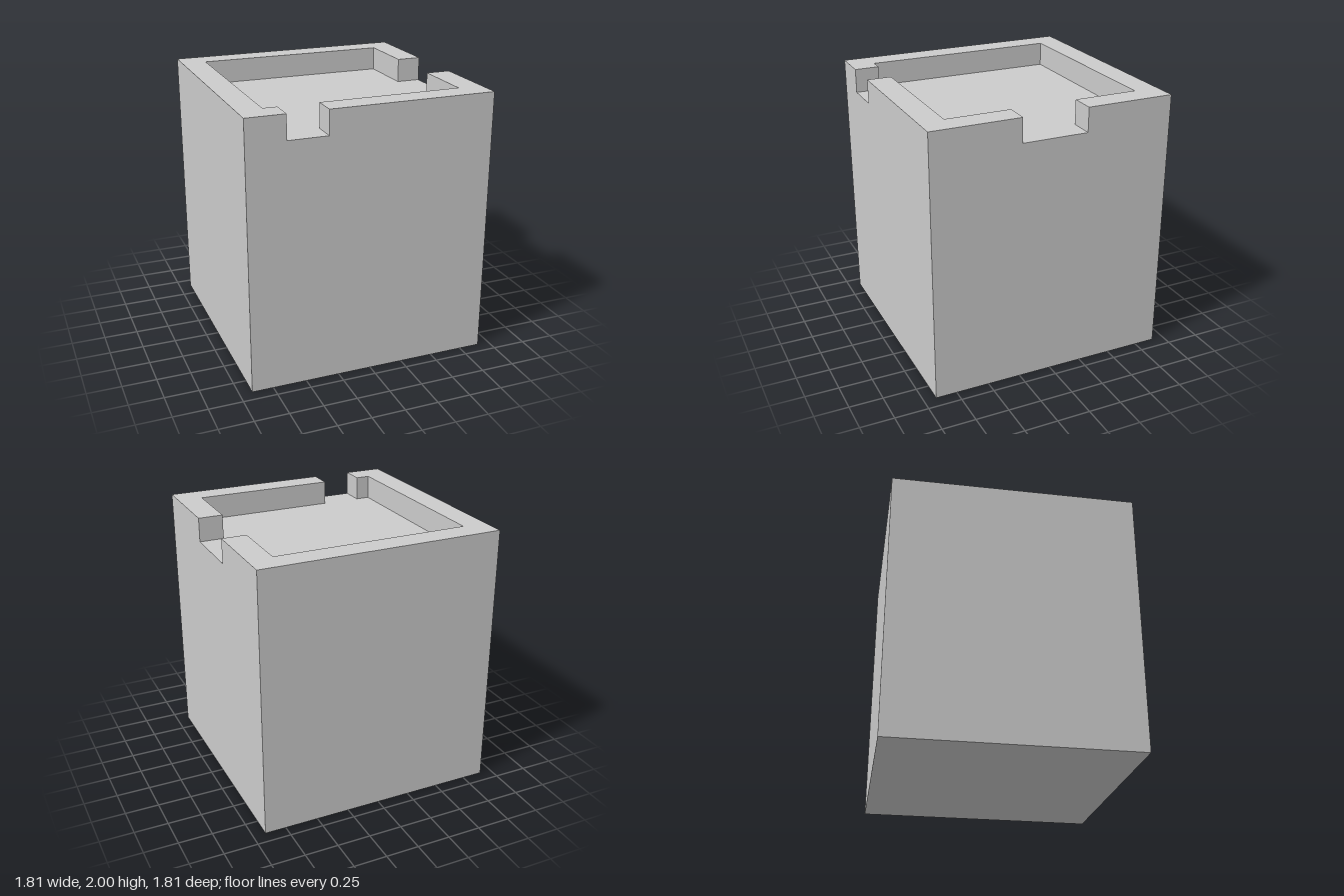
import * as THREE from 'three';

const OUT = 0.907; // half width of the block
const INN = 0.724; // inner face of the parapet
const BASE = 1.82; // height of the roof floor
const TOP = 2;

const material = new THREE.MeshStandardMaterial({ color: 0xcccccc, flatShading: true });

// Upright wall from a plan outline of [x, z] points standing on the roof floor
function wall(name, plan) {
  const shape = new THREE.Shape(plan.map(([x, z]) => new THREE.Vector2(x, -z)));
  const geometry = new THREE.ExtrudeGeometry(shape, { depth: TOP - BASE, bevelEnabled: false });
  geometry.rotateX(-Math.PI / 2).translate(0, BASE, 0);
  const mesh = new THREE.Mesh(geometry, material);
  mesh.name = name;
  return mesh;
}

export function createModel() {
  const model = new THREE.Group();
  model.name = 'walledBlock';

  // Solid block
  const block = new THREE.Mesh(new THREE.BoxGeometry(2 * OUT, BASE, 2 * OUT), material);
  block.name = 'block';
  block.position.y = BASE / 2;
  model.add(block);

  // Gaps in the parapet: front (x range) and +x side (z range)
  const front = [-0.62, -0.326];
  const side = [-0.248, 0.244];

  // Long parapet: around the back and -x side, between the two gaps
  model.add(wall('longParapet', [
    [OUT, side[0]], [OUT, -OUT], [-OUT, -OUT], [-OUT, OUT], [front[0], OUT],
    [front[0], INN], [-INN, INN], [-INN, -INN], [INN, -INN], [INN, side[0]],
  ]));

  // Corner parapet: front and +x side
  model.add(wall('cornerParapet', [
    [front[1], OUT], [OUT, OUT], [OUT, side[1]],
    [INN, side[1]], [INN, INN], [front[1], INN],
  ]));

  return model;
}
